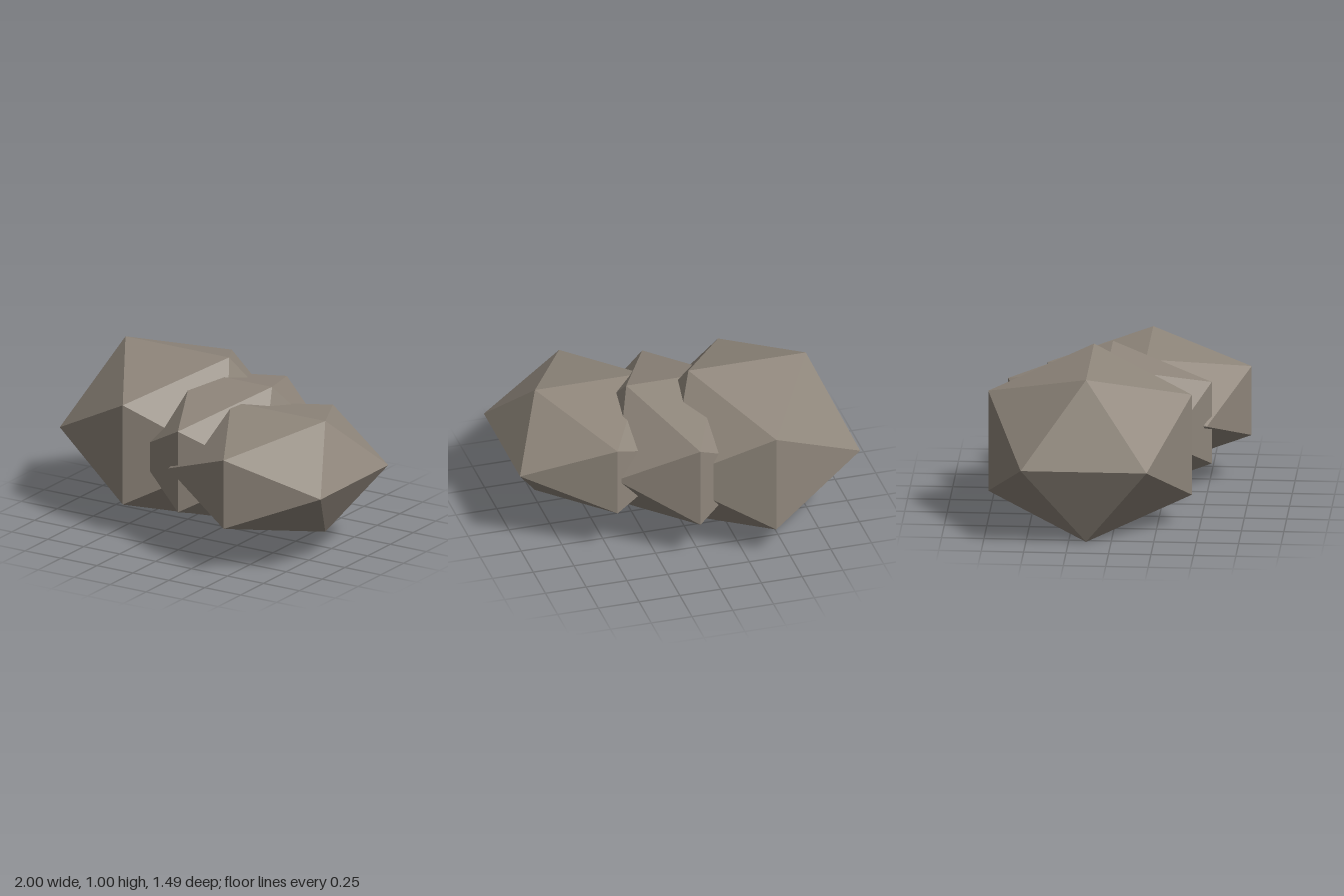
import * as THREE from 'three';

export function createModel() {
  const model = new THREE.Group();
  model.name = 'rockCluster';
  const stone = new THREE.MeshStandardMaterial({ color: 0x8f867b });
  stone.name = 'warm grey stone';
  stone.flatShading = true;

  // Each boulder is a stretched icosahedron: name, centre, radii
  const boulders = [
    ['largeBoulder', [-0.417, 0.5, -0.147], [0.685, 0.586, 0.705]],
    ['middleBoulder', [0.022, 0.5, -0.059], [0.525, 0.477, 0.705]],
    ['lowBoulder', [0.47, 0.5, 0.145], [0.623, 0.404, 0.707]],
  ];
  for (const [name, centre, radii] of boulders) {
    const geometry = new THREE.IcosahedronGeometry(1, 0);
    geometry.scale(...radii);
    const boulder = new THREE.Mesh(geometry, stone);
    boulder.name = name;
    boulder.position.set(...centre);
    model.add(boulder);
  }
  return model;
}
